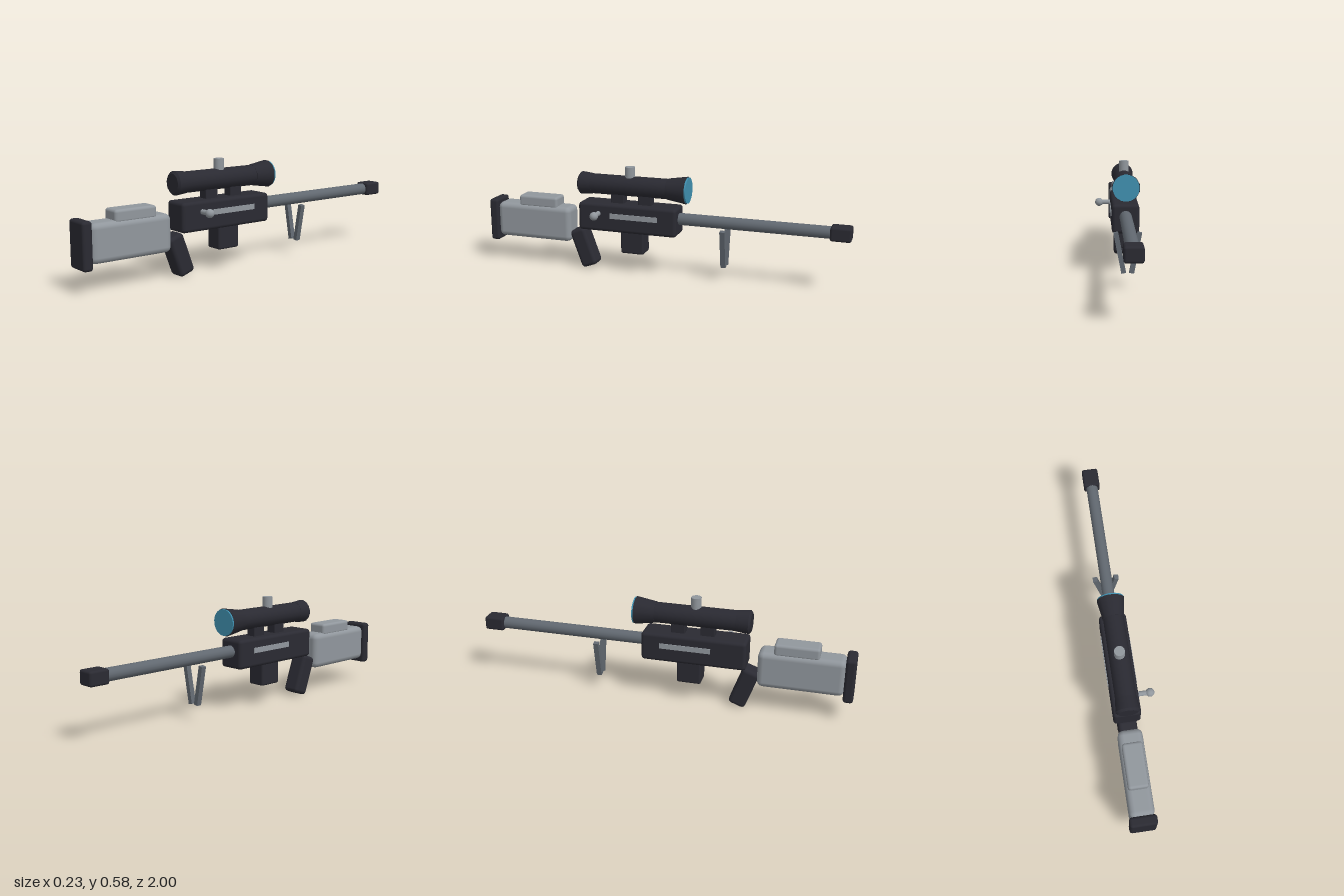
import * as THREE from 'three';
import { RoundedBoxGeometry } from 'three/addons/geometries/RoundedBoxGeometry.js';

const paint = (name, color) => {
  const m = new THREE.MeshStandardMaterial({ color });
  m.name = name;
  return m;
};

export function createModel() {
  const black = paint('matte black', 0x2a2a32);
  const grey = paint('light grey', 0x91979d);
  const steel = paint('blue steel', 0x616870);
  const glass = paint('lens blue', 0x4090b0);

  const model = new THREE.Group();
  model.name = 'rifle';
  model.position.x = -0.042; // the bolt handle sticks out on one side

  const add = (name, geometry, material, x, y, z) => {
    const mesh = new THREE.Mesh(geometry, material);
    mesh.name = name;
    mesh.position.set(x, y, z);
    model.add(mesh);
    return mesh;
  };
  // Softened box given by its extent in y and z
  const block = (name, mat, w, y0, y1, z0, z1, r) =>
    add(name, new RoundedBoxGeometry(w, y1 - y0, z1 - z0, 2, r), mat, 0, (y0 + y1) / 2, (z0 + z1) / 2);
  // Cylinder along z, with radii at the back (+z) and front (-z)
  const tube = (name, mat, rBack, rFront, y, z0, z1, sides) => {
    const g = new THREE.CylinderGeometry(rBack, rFront, z1 - z0, sides);
    g.rotateY(Math.PI / sides).rotateX(Math.PI / 2);
    return add(name, g, mat, 0, y, (z0 + z1) / 2);
  };

  // Stock
  block('buttPlate', black, 0.139, 0.12, 0.356, 0.948, 1.0, 0.015);
  block('stock', grey, 0.127, 0.145, 0.34, 0.51, 0.952, 0.03);
  block('cheekRest', grey, 0.104, 0.325, 0.39, 0.59, 0.82, 0.015);

  // Receiver, magazine and grip
  block('receiver', black, 0.143, 0.23, 0.384, -0.1, 0.453, 0.018);
  block('magazine', black, 0.1, 0.112, 0.25, 0.088, 0.217, 0.01);
  const grip = add('grip', new RoundedBoxGeometry(0.098, 0.218, 0.092, 2, 0.02), black, 0, 0.117, 0.443);
  grip.rotation.x = 0.35;
  for (const s of [1, -1]) {
    add(s > 0 ? 'leftSidePlate' : 'rightSidePlate',
      new THREE.BoxGeometry(0.006, 0.028, 0.27), grey, s * 0.0725, 0.321, 0.135);
  }

  // Barrel and muzzle
  tube('barrel', steel, 0.032, 0.032, 0.32, -0.91, -0.08, 16);
  block('muzzle', black, 0.088, 0.284, 0.357, -1.0, -0.893, 0.012);

  // Folding legs, converging downwards
  for (const s of [1, -1]) {
    const leg = add(s > 0 ? 'leftLeg' : 'rightLeg',
      new THREE.BoxGeometry(0.024, 0.207, 0.027), steel, s * 0.039, 0.187, -0.35);
    leg.rotation.z = -s * 0.19;
  }

  // Scope
  const axis = 0.477;
  tube('scopeTube', black, 0.054, 0.054, axis, -0.06, 0.41, 16);
  tube('scopeEyepiece', black, 0.062, 0.055, axis, 0.39, 0.455, 16);
  tube('scopeEyepieceRim', black, 0.05, 0.062, axis, 0.455, 0.466, 16);
  tube('scopeBell', black, 0.056, 0.073, axis, -0.142, -0.035, 12);
  tube('scopeLens', glass, 0.069, 0.069, axis, -0.15, -0.142, 24);
  block('rearMount', black, 0.054, 0.375, 0.45, 0.206, 0.28, 0.004);
  block('frontMount', black, 0.054, 0.375, 0.45, 0.05, 0.124, 0.004);
  add('turretKnob', new THREE.CylinderGeometry(0.027, 0.027, 0.07, 16), grey, 0, 0.547, 0.177);

  // Bolt handle
  const rod = new THREE.CylinderGeometry(0.0135, 0.0135, 0.08, 12).rotateZ(Math.PI / 2);
  add('boltRod', rod, grey, 0.09, 0.33, 0.335);
  add('boltKnob', new THREE.SphereGeometry(0.023, 16, 12), grey, 0.134, 0.33, 0.335);

  return model;
}
